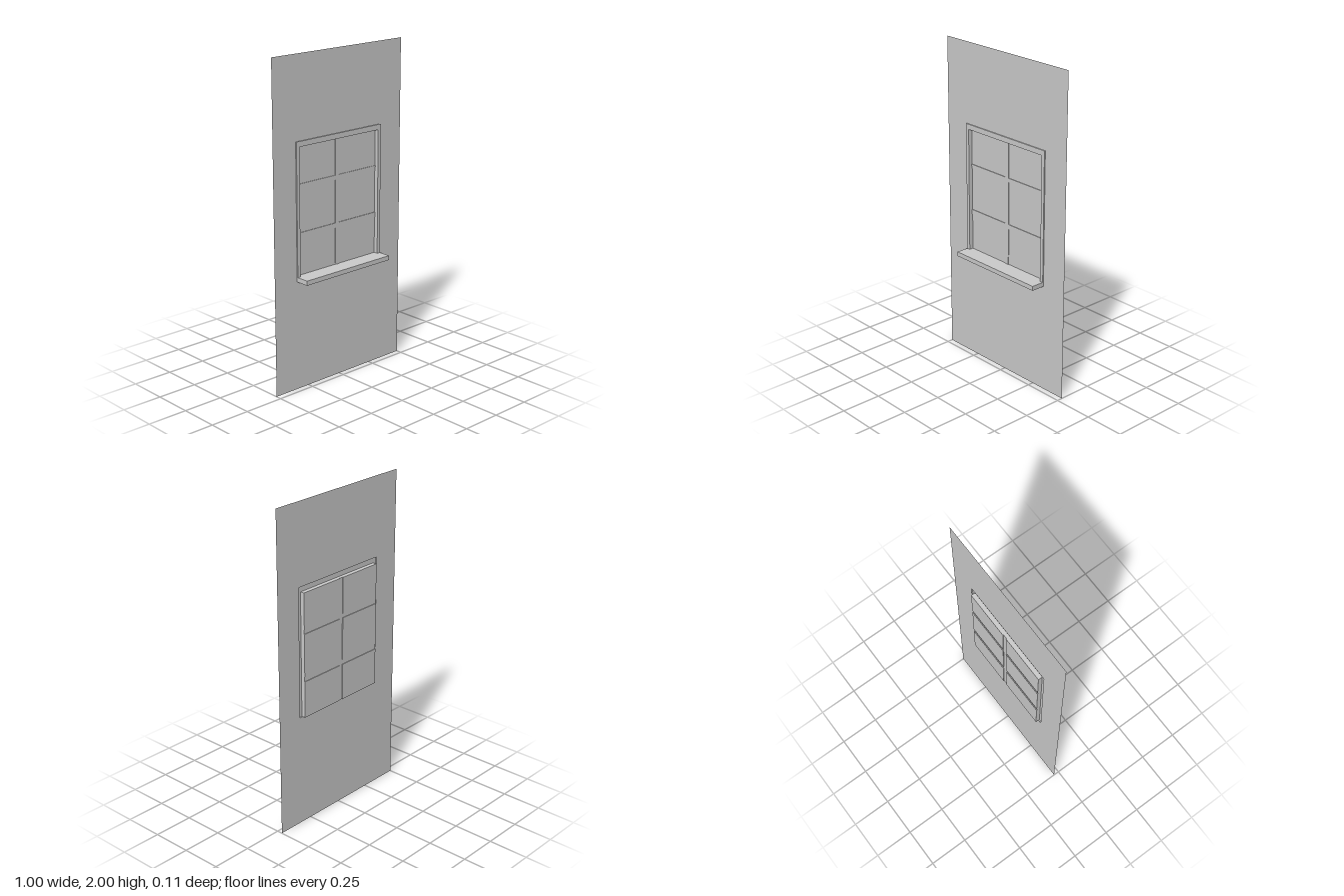
import * as THREE from 'three';

const material = new THREE.MeshStandardMaterial({ color: 0xcccccc, side: THREE.DoubleSide });

// Depths, from the wall backwards to the glass
const Z = { trim: -0.028, wall: -0.035, muntin: -0.05, glass: -0.054 };

// Rectangles are [x0, y0, x1, y1]
const WALL = [-0.5, 0, 0.5, 2];
const TRIM = [-0.332, 0.7, 0.332, 1.504];
const SASH = [-0.31, 0.7, 0.31, 1.472];
const SILL = [-0.332, 0.672, 0.332, 0.7];
const PANES = [];
for (const [y0, y1] of [[0.7, 0.927], [0.958, 1.222], [1.249, 1.472]]) {
  PANES.push([-0.31, y0, -0.014, y1], [0.014, y0, 0.31, y1]);
}

function trace(path, [x0, y0, x1, y1]) {
  path.moveTo(x0, y0);
  path.lineTo(x1, y0);
  path.lineTo(x1, y1);
  path.lineTo(x0, y1);
  path.closePath();
  return path;
}

export function createModel() {
  const model = new THREE.Group();
  model.name = 'windowWall';

  const add = (name, geometry, x = 0, y = 0, z = 0, parent = model) => {
    const mesh = new THREE.Mesh(geometry, material);
    mesh.name = name;
    mesh.position.set(x, y, z);
    parent.add(mesh);
    return mesh;
  };

  // Flat sheet with optional openings
  const sheet = (name, shape, z, parent) =>
    add(name, new THREE.ShapeGeometry(shape), 0, 0, z, parent);

  // Side faces joining two depths around a rectangle
  const reveal = (name, [x0, y0, x1, y1], front, back, parent, bottom = true) => {
    const depth = front - back;
    const z = (front + back) / 2;
    const group = new THREE.Group();
    group.name = name;
    for (const x of [x0, x1]) {
      const side = new THREE.PlaneGeometry(depth, y1 - y0).rotateY(x === x0 ? Math.PI / 2 : -Math.PI / 2);
      add(name + 'Side', side, x, (y0 + y1) / 2, z, group);
    }
    for (const y of bottom ? [y0, y1] : [y1]) {
      const edge = new THREE.PlaneGeometry(x1 - x0, depth).rotateX(y === y0 ? -Math.PI / 2 : Math.PI / 2);
      add(name + 'Edge', edge, (x0 + x1) / 2, y, z, group);
    }
    (parent || model).add(group);
  };

  // Wall with the opening for window and sill
  const wall = trace(new THREE.Shape(), WALL);
  wall.holes.push(trace(new THREE.Path(), [TRIM[0], SILL[1], TRIM[2], TRIM[3]]));
  sheet('wall', wall, Z.wall);

  // Raised trim along the sides and top, open at the sill
  const trim = new THREE.Shape([
    [TRIM[0], TRIM[1]], [SASH[0], SASH[1]], [SASH[0], SASH[3]], [SASH[2], SASH[3]],
    [SASH[2], SASH[1]], [TRIM[2], TRIM[1]], [TRIM[2], TRIM[3]], [TRIM[0], TRIM[3]],
  ].map(([x, y]) => new THREE.Vector2(x, y)));
  sheet('trimFace', trim, Z.trim);
  reveal('trimOuter', TRIM, Z.trim, Z.wall, model, false);

  // Recess from the trim back to the glazing bars
  reveal('recess', SASH, Z.trim, Z.muntin);

  // Glazing bars with six panes set slightly deeper
  const muntins = new THREE.Shape();
  const [, vertical] = [null, [-0.014, SASH[1], 0.014, SASH[3]]];
  trace(muntins, vertical);
  const glazing = new THREE.Group();
  glazing.name = 'glazing';
  model.add(glazing);
  sheet('verticalMuntin', muntins, Z.muntin, glazing);
  for (const [y0, y1] of [[0.927, 0.958], [1.222, 1.249]]) {
    for (const [x0, x1] of [[-0.31, -0.014], [0.014, 0.31]]) {
      sheet('horizontalMuntin', trace(new THREE.Shape(), [x0, y0, x1, y1]), Z.muntin, glazing);
    }
  }
  for (const pane of PANES) {
    sheet('pane', trace(new THREE.Shape(), pane), Z.glass, glazing);
    reveal('paneRim', pane, Z.muntin, Z.glass, glazing);
  }

  // Projecting sill
  const sillFront = 0.052;
  add('sill', new THREE.BoxGeometry(SILL[2] - SILL[0], SILL[3] - SILL[1], sillFront - Z.wall),
    0, (SILL[1] + SILL[3]) / 2, (sillFront + Z.wall) / 2);

  return model;
}
